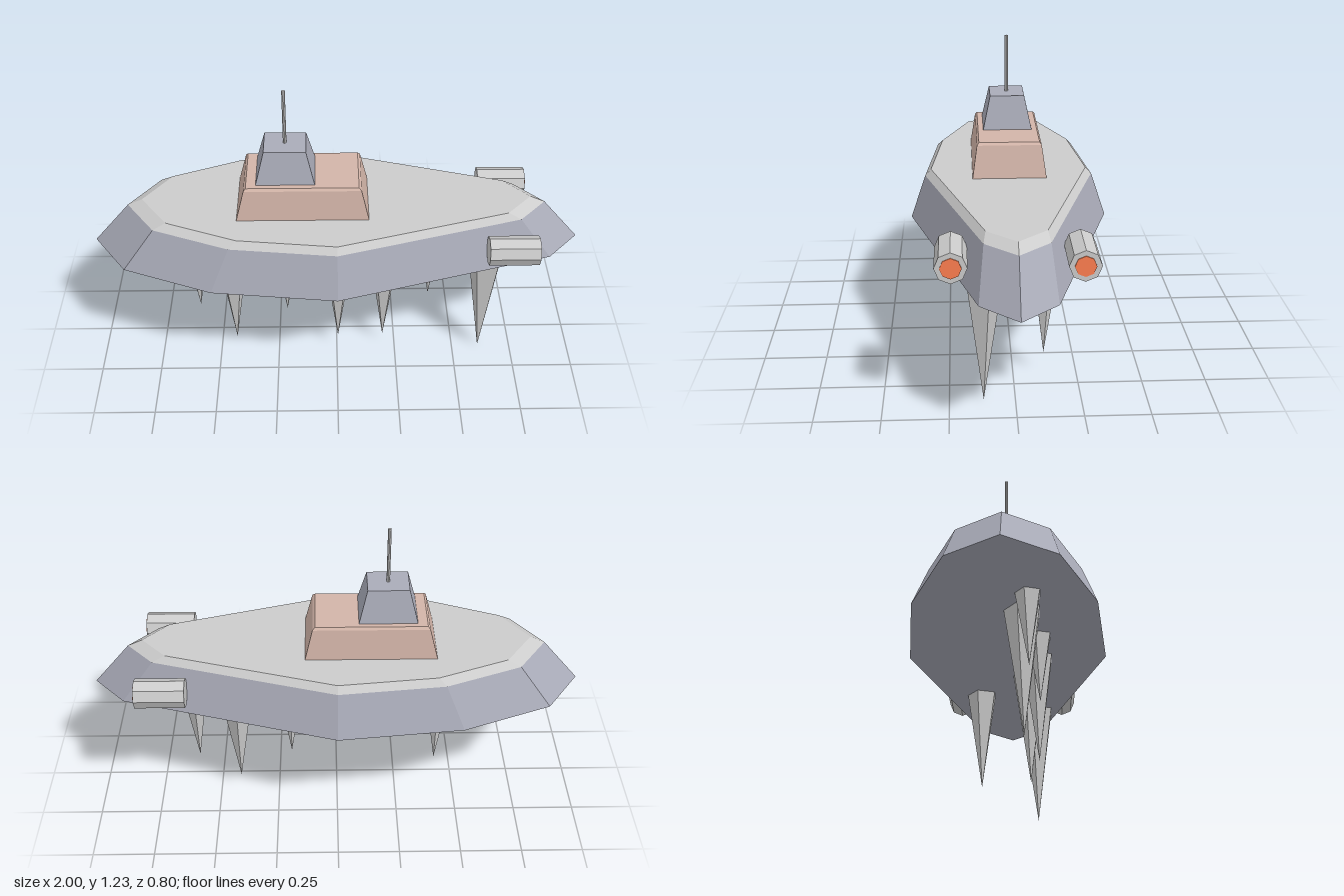
import * as THREE from 'three';

const paint = (color) => new THREE.MeshStandardMaterial({ color, flatShading: true });

// Stack horizontal rings of [x, z] corners (counter-clockwise from above) into a faceted solid.
function loft(levels, capBottom = true, capTop = true) {
  const pos = [];
  const rings = levels.map(({ y, ring }) => ring.map(([x, z]) => [x, y, z]));
  const n = rings[0].length;
  const tri = (a, b, c) => pos.push(...a, ...b, ...c);
  const centre = (ring) => [
    ring.reduce((s, p) => s + p[0], 0) / n,
    ring[0][1],
    ring.reduce((s, p) => s + p[2], 0) / n,
  ];
  const low = rings[0], high = rings[rings.length - 1];
  for (let i = 0; i < n; i++) {
    const j = (i + 1) % n;
    for (let k = 0; k + 1 < rings.length; k++) {
      const a = rings[k], b = rings[k + 1];
      tri(a[i], a[j], b[j]);
      tri(a[i], b[j], b[i]);
    }
    if (capTop) tri(centre(high), high[i], high[j]);
    if (capBottom) tri(centre(low), low[j], low[i]);
  }
  const geo = new THREE.BufferGeometry();
  geo.setAttribute('position', new THREE.Float32BufferAttribute(pos, 3));
  geo.computeVertexNormals();
  return geo;
}

const rect = (x0, x1, z) => [[x1, z], [x1, -z], [x0, -z], [x0, z]];

export function createModel() {
  const group = new THREE.Group();
  const grey = paint(0xcccccc);
  const slate = paint(0xa9abb8);
  const tan = paint(0xd2b4a8);
  const coral = paint(0xff7f50);

  const add = (name, geo, mat, x = 0, y = 0, z = 0) => {
    const mesh = new THREE.Mesh(geo, mat);
    mesh.name = name;
    mesh.position.set(x, y, z);
    group.add(mesh);
    return mesh;
  };

  // Hull plan: one side, mirrored to the other
  const side = [[0.87, -0.14], [0, -0.4], [-0.5, -0.345], [-0.86, -0.2]];
  const outline = [[1, 0], ...side, [-1, 0], ...side.map(([x, z]) => [x, -z]).reverse()];
  const plan = (s) => outline.map(([x, z]) => [x * s, z * s]);

  add('hull', loft([{ y: 0.512, ring: plan(1) }, { y: 0.69, ring: plan(0.85) }], true, false), slate);
  add('deck', loft([{ y: 0.69, ring: plan(0.85) }, { y: 0.717, ring: plan(0.79) }], false, true), grey);

  // Superstructure
  add('cabin', loft([
    { y: 0.715, ring: rect(-0.4, 0.128, 0.148) },
    { y: 0.845, ring: rect(-0.367, 0.097, 0.129) },
    { y: 0.855, ring: rect(-0.358, 0.087, 0.121) },
  ]), tan);
  add('tower', loft([
    { y: 0.853, ring: rect(-0.32, -0.086, 0.1) },
    { y: 0.99, ring: rect(-0.285, -0.12, 0.07) },
  ]), slate);
  add('mast', new THREE.CylinderGeometry(0.007, 0.007, 0.24, 8), grey, -0.203, 1.105, 0);

  // Twin engines with glowing nozzles
  for (const [label, s] of [['left', 1], ['right', -1]]) {
    const body = new THREE.CylinderGeometry(0.059, 0.059, 0.2, 8).rotateZ(-Math.PI / 2);
    const glow = new THREE.CylinderGeometry(0.039, 0.039, 0.01, 8).rotateZ(-Math.PI / 2);
    add(label + 'Engine', body, grey, 0.7, 0.625, s * 0.235);
    add(label + 'EngineGlow', glow, coral, 0.799, 0.625, s * 0.235);
  }

  // Hanging spikes: x, z, tip height, base radius
  const spikes = [
    [-0.578, 0.09, 0.225, 0.051], [-0.435, 0.07, 0.015, 0.075], [-0.208, 0.13, 0.235, 0.051],
    [0.005, 0.125, 0.07, 0.067], [0.198, 0.09, 0.043, 0.071], [0.41, -0.12, 0.09, 0.066],
    [0.613, 0.12, 0, 0.077],
  ];
  spikes.forEach(([x, z, tip, r], i) => {
    const h = 0.515 - tip;
    add('spike' + (i + 1), new THREE.ConeGeometry(r, h, 5).rotateX(Math.PI), grey, x, tip + h / 2, z);
  });

  return group;
}
